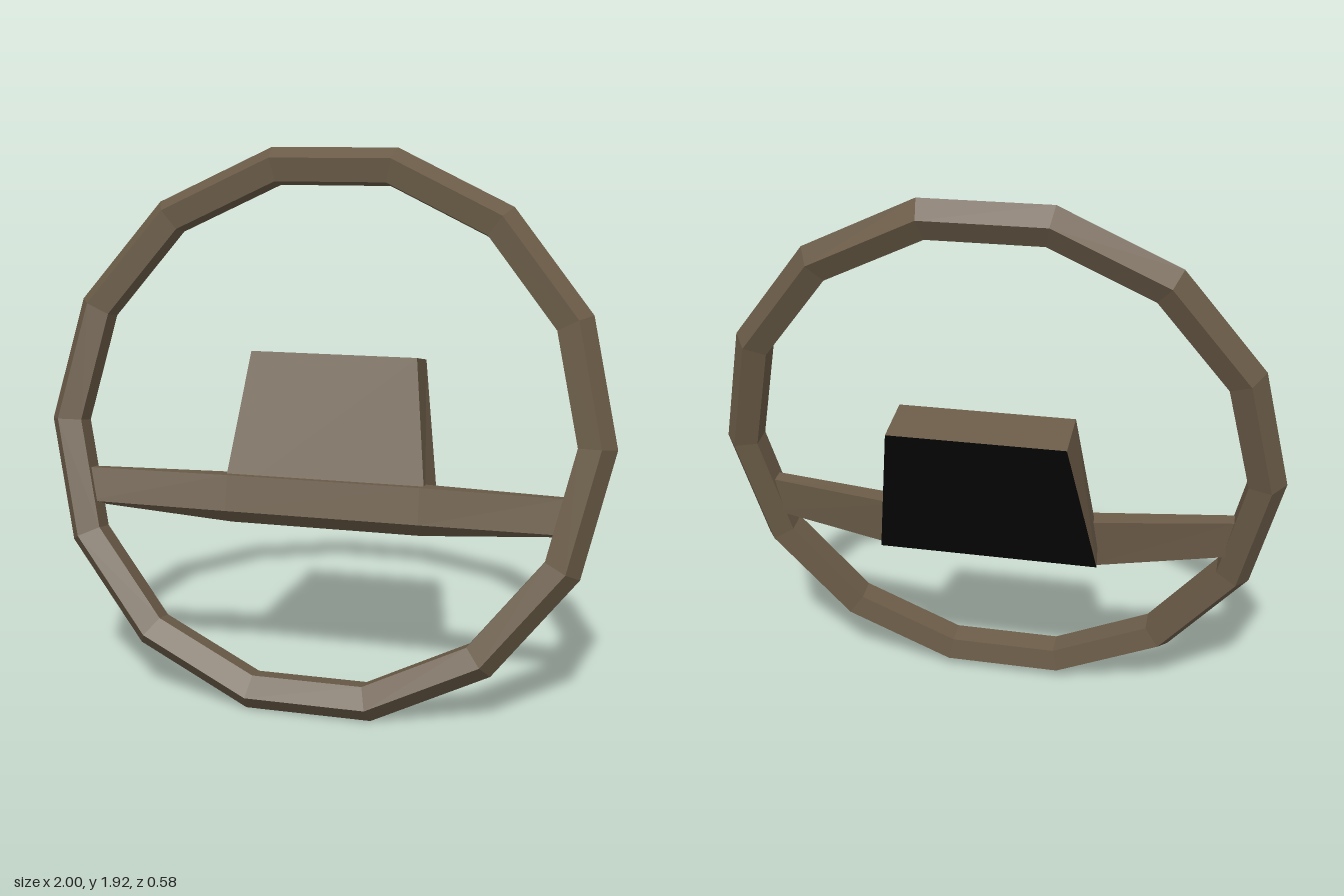
import * as THREE from 'three';

const brown = new THREE.MeshStandardMaterial({ name: 'brown', color: 0x6a5b47, flatShading: true });
const black = new THREE.MeshStandardMaterial({ name: 'black', color: 0x060606, flatShading: true });

// Moves every vertex of a box by a rule.
function shapedBox(name, widthSegments, rule, materials) {
  const geometry = new THREE.BoxGeometry(2, 2, 2, widthSegments, 1, 1);
  const p = geometry.attributes.position;
  for (let i = 0; i < p.count; i++) p.setXYZ(i, ...rule(p.getX(i), p.getY(i), p.getZ(i)));
  geometry.computeVertexNormals();
  const mesh = new THREE.Mesh(geometry, materials);
  mesh.name = name;
  return mesh;
}

export function createModel() {
  const wheel = new THREE.Group();
  wheel.name = 'steeringWheel';

  // Rim: five-sided tube in fourteen segments, leaning back
  const rim = new THREE.Mesh(new THREE.TorusGeometry(0.93, 0.07, 5, 14), brown);
  rim.name = 'rim';
  rim.position.set(0, 0.958, 0.055);
  rim.rotation.x = -0.185;
  wheel.add(rim);

  // Crossbar: four-sided bar, bowed back in the middle
  // [z, y] of the corners: top front, bottom front, bottom back, top back
  const middle = [[0.05, 0.785], [0.075, 0.66], [0, 0.6], [-0.02, 0.78]];
  const end = [[0.11, 0.797], [0.135, 0.68], [0.07, 0.655], [0.06, 0.79]];
  wheel.add(shapedBox('crossbar', 3, (x, y, z) => {
    const outer = Math.abs(x) > 0.9;
    const corner = z > 0 ? (y > 0 ? 0 : 1) : (y > 0 ? 3 : 2);
    const [cz, cy] = (outer ? end : middle)[corner];
    return [Math.sign(x) * (outer ? 0.84 : 0.345), cy, cz];
  }, [black, black, brown, brown, brown, brown]));

  // Hub: tilted tapering block with a dark back and underside
  wheel.add(shapedBox('hub', 1, (x, y, z) => {
    if (y > 0) return z > 0 ? [x * 0.3, 1.205, -0.11] : [x * 0.3, 1.17, -0.29];
    return z > 0 ? [x * 0.367, 0.685, 0.05] : [x * 0.385, 0.655, -0.105];
  }, [brown, brown, brown, black, brown, black]));

  return wheel;
}
